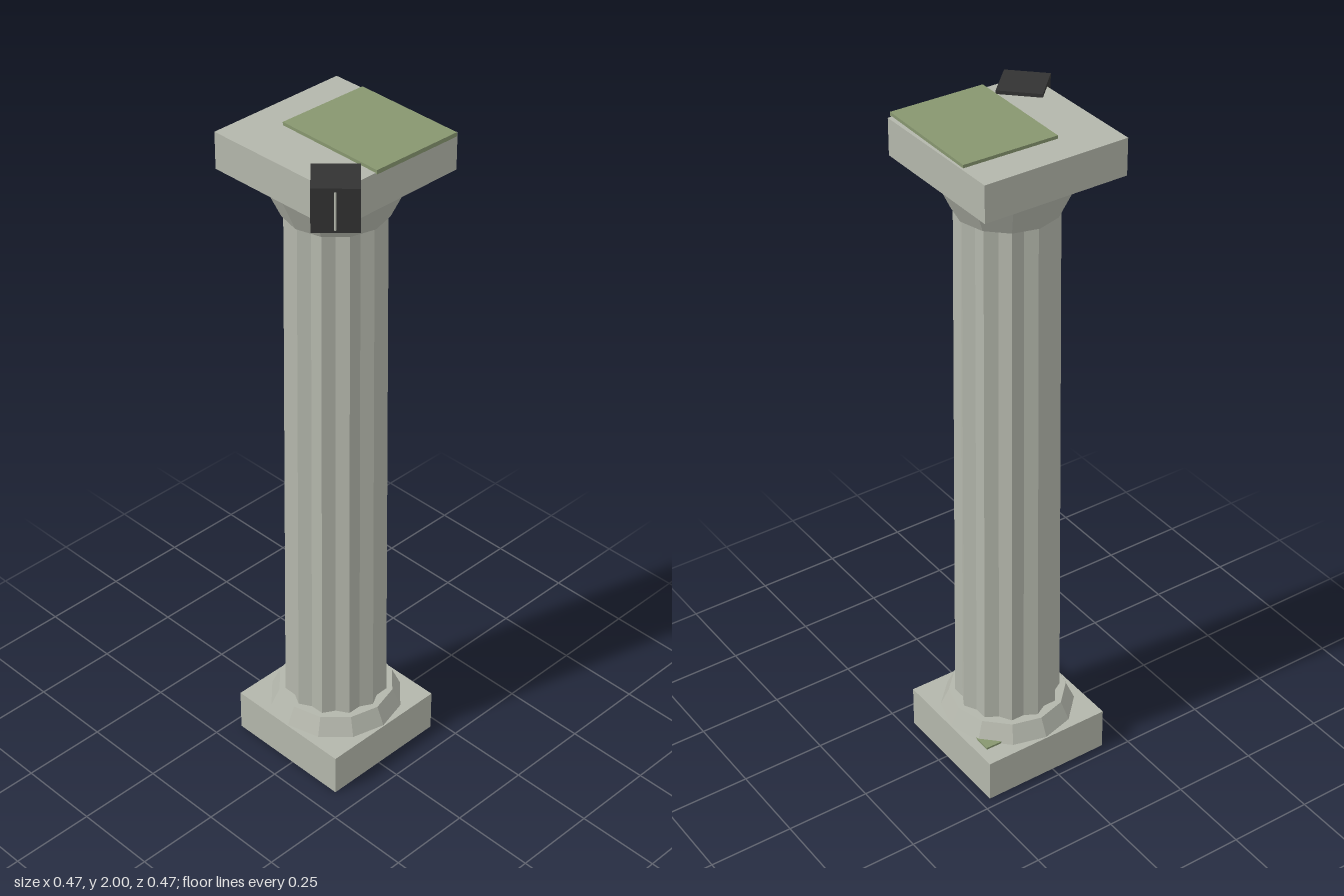
import * as THREE from 'three';

const mat = (color) => new THREE.MeshStandardMaterial({ color, flatShading: true, side: THREE.DoubleSide });

export function createModel() {
  const model = new THREE.Group();
  const stone = mat(0xb3b6ab), green = mat(0x87966f), dark = mat(0x333333);

  const add = (parent, name, geometry, material, x, y, z, turn = 0) => {
    const mesh = new THREE.Mesh(geometry, material);
    mesh.name = name;
    mesh.position.set(x, y, z);
    mesh.rotation.y = turn;
    parent.add(mesh);
    return mesh;
  };
  const box = (w, h, d) => new THREE.BoxGeometry(w, h, d);
  // twelve-sided collar spanning y0 to y1
  const collar = (name, rTop, rBottom, y0, y1) =>
    add(column, name, new THREE.CylinderGeometry(rTop, rBottom, y1 - y0, 12), stone, 0, (y0 + y1) / 2, 0);

  const column = new THREE.Group();
  column.name = 'column';
  column.position.set(-0.021, 0, -0.021);
  model.add(column);

  // square plinth, open underneath
  const plinth = box(0.397, 0.13, 0.397);
  const index = Array.from(plinth.index.array);
  index.splice(18, 6); // drop the bottom face
  plinth.setIndex(index);
  plinth.clearGroups();
  add(column, 'plinth', plinth, stone, 0, 0.065, 0);

  collar('baseMoulding', 0.17, 0.195, 0.13, 0.185);

  // tapered shaft: every other edge is pulled inward to make the flutes
  const shaft = new THREE.CylinderGeometry(0.138, 0.152, 1.585, 24, 1, true);
  const p = shaft.attributes.position;
  for (let i = 0; i < p.count; i++) {
    if ((i % 25) % 2 === 1) p.setXYZ(i, p.getX(i) * 0.9, p.getY(i), p.getZ(i) * 0.9);
  }
  shaft.computeVertexNormals();
  add(column, 'flutedShaft', shaft, stone, 0, 0.9775, 0);

  // capital
  collar('echinus', 0.197, 0.143, 1.77, 1.885);
  add(column, 'abacus', box(0.428, 0.105, 0.428), stone, 0, 1.9375, 0);

  // moss on the abacus and on a corner of the plinth
  add(model, 'topMoss', box(0.337, 0.012, 0.277), green, 0.031, 1.993, -0.087, -0.02);
  add(model, 'baseMoss', box(0.145, 0.01, 0.2), green, -0.093, 0.131, -0.09, -0.02);

  // dark block set diagonally into the capital corner
  add(model, 'cornerBlock', box(0.122, 0.122, 0.122), dark, 0.148, 1.939, 0.147, Math.PI / 4);

  return model;
}
